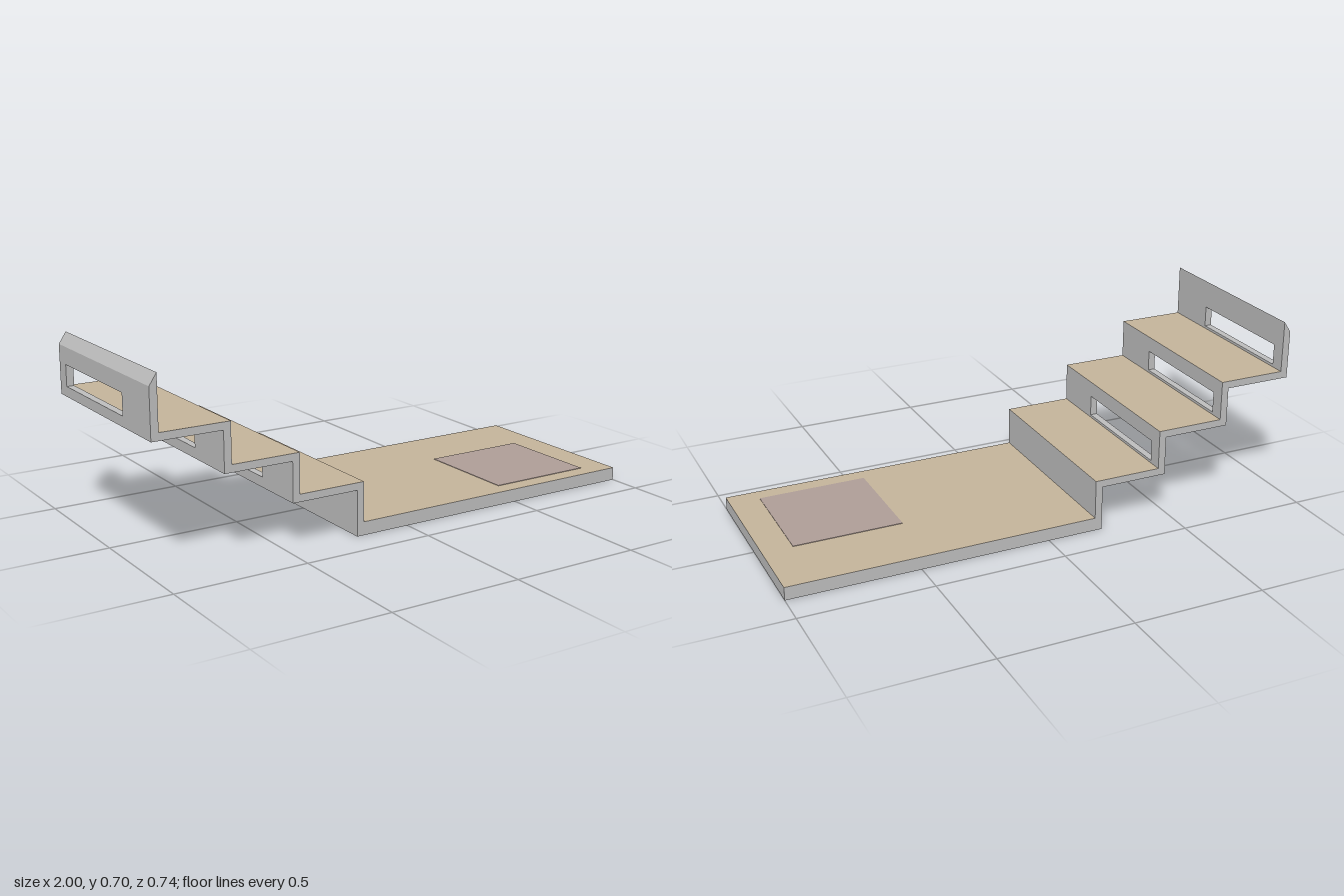
import * as THREE from 'three';

const HALF = 0.372;  // half depth in z
const T = 0.028;     // sheet thickness

export function createModel() {
  const group = new THREE.Group();
  const mat = (name, color) => {
    const m = new THREE.MeshStandardMaterial({ color });
    m.name = name;
    return m;
  };
  const concrete = mat('grey concrete', 0xbdbdbd);
  const tan = mat('tan surface', 0xc4b49a);
  const mauve = mat('mauve patch', 0xae9d97);

  const add = (name, geometry, material) => {
    const mesh = new THREE.Mesh(geometry, material);
    mesh.name = name;
    group.add(mesh);
    return mesh;
  };

  // Horizontal slab with a tan upper face
  const slab = (name, x0, x1, y0, y1) => {
    const g = new THREE.BoxGeometry(x1 - x0, y1 - y0, HALF * 2);
    add(name, g, [concrete, concrete, tan, concrete, concrete, concrete])
      .position.set((x0 + x1) / 2, (y0 + y1) / 2, 0);
  };

  // Upright sheet, optionally slotted, with an optional lower outer top edge
  const riser = (name, x0, y0, y1, slotted, outerTop = y1) => {
    const s = new THREE.Shape([[-HALF, y0], [HALF, y0], [HALF, y1], [-HALF, y1]]
      .map(p => new THREE.Vector2(...p)));
    if (slotted) {
      const a = y0 + 0.01, b = y0 + 0.09;
      s.holes.push(new THREE.Path([[-0.16, a], [-0.16, b], [0.317, b], [0.317, a]]
        .map(p => new THREE.Vector2(...p))));
    }
    const g = new THREE.ExtrudeGeometry(s, { depth: T, bevelEnabled: false });
    const p = g.attributes.position;
    for (let i = 0; i < p.count; i++) {
      if (p.getZ(i) < T / 2 && p.getY(i) > y1 - 1e-4) p.setY(i, outerTop);
    }
    g.computeVertexNormals();
    g.rotateY(Math.PI / 2);
    add(name, g, concrete).position.x = x0;
  };

  // Broad floor and the solid first riser
  slab('floor', -0.217, 1, 0, 0.05);
  riser('firstRiser', -0.217, 0.05, 0.172, false);

  // Three treads, each carrying a slotted riser at its far edge
  const edges = [-0.217, -0.479, -0.74, -1];
  for (let i = 0; i < 3; i++) {
    const top = 0.2 + 0.15 * i;
    slab('tread' + (i + 1), edges[i + 1], edges[i] + T, top - T, top);
    if (i < 2) riser('slottedRiser' + (i + 1), edges[i + 1], top, top + 0.15 - T, true);
    else riser('backWall', edges[3], top, 0.697, true, 0.655);
  }

  // Square patch on the floor
  add('floorPatch', new THREE.BoxGeometry(0.417, 0.003, 0.417), mauve)
    .position.set(0.677, 0.0505, 0.1);

  return group;
}
